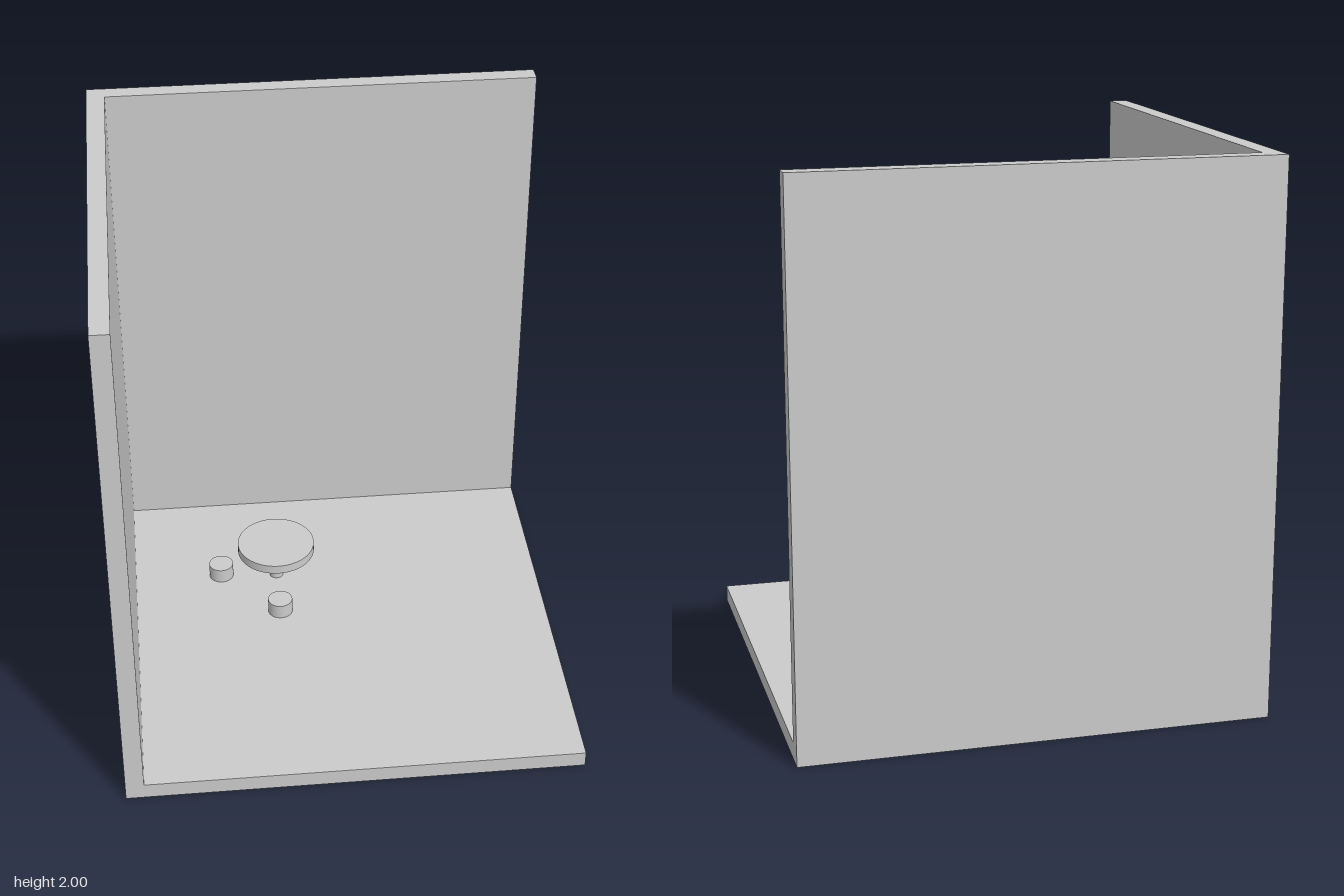
import * as THREE from 'three';

export function createModel() {
  const model = new THREE.Group();
  model.name = 'roomCorner';
  const material = new THREE.MeshStandardMaterial({ color: 0xcccccc });

  const SIZE = 1.69, HALF = SIZE / 2, HEIGHT = 2, WALL = 0.068, FLOOR = 0.061;

  function add(parent, name, geometry, x, y, z) {
    const mesh = new THREE.Mesh(geometry, material);
    mesh.name = name;
    mesh.position.set(x, y, z);
    parent.add(mesh);
  }

  // Upright cylinder spanning y0 to y1
  function addDisc(parent, name, radius, y0, y1, x, z) {
    const geometry = new THREE.CylinderGeometry(radius, radius, y1 - y0, 64);
    add(parent, name, geometry, x, (y0 + y1) / 2, z);
  }

  // Floor slab and the two walls standing on it
  const wallHeight = HEIGHT - FLOOR, wallY = FLOOR + wallHeight / 2;
  add(model, 'floor', new THREE.BoxGeometry(SIZE, FLOOR, SIZE), 0, FLOOR / 2, 0);
  add(model, 'backWall', new THREE.BoxGeometry(SIZE, wallHeight, WALL), 0, wallY, -HALF + WALL / 2);
  add(model, 'rightWall', new THREE.BoxGeometry(WALL, wallHeight, SIZE - WALL), -HALF + WALL / 2, wallY, WALL / 2);

  // Round pedestal table
  const table = new THREE.Group();
  table.name = 'table';
  table.position.set(-0.207, 0, -0.299);
  addDisc(table, 'tableLeg', 0.027, FLOOR, 0.188, 0, 0);
  addDisc(table, 'tableTop', 0.153, 0.188, 0.225, 0, 0);
  model.add(table);

  // Two low stools beside the table
  for (const [name, x, z] of [['sideStool', -0.43, -0.316], ['frontStool', -0.209, -0.071]]) {
    addDisc(model, name, 0.048, FLOOR, 0.12, x, z);
  }

  return model;
}
